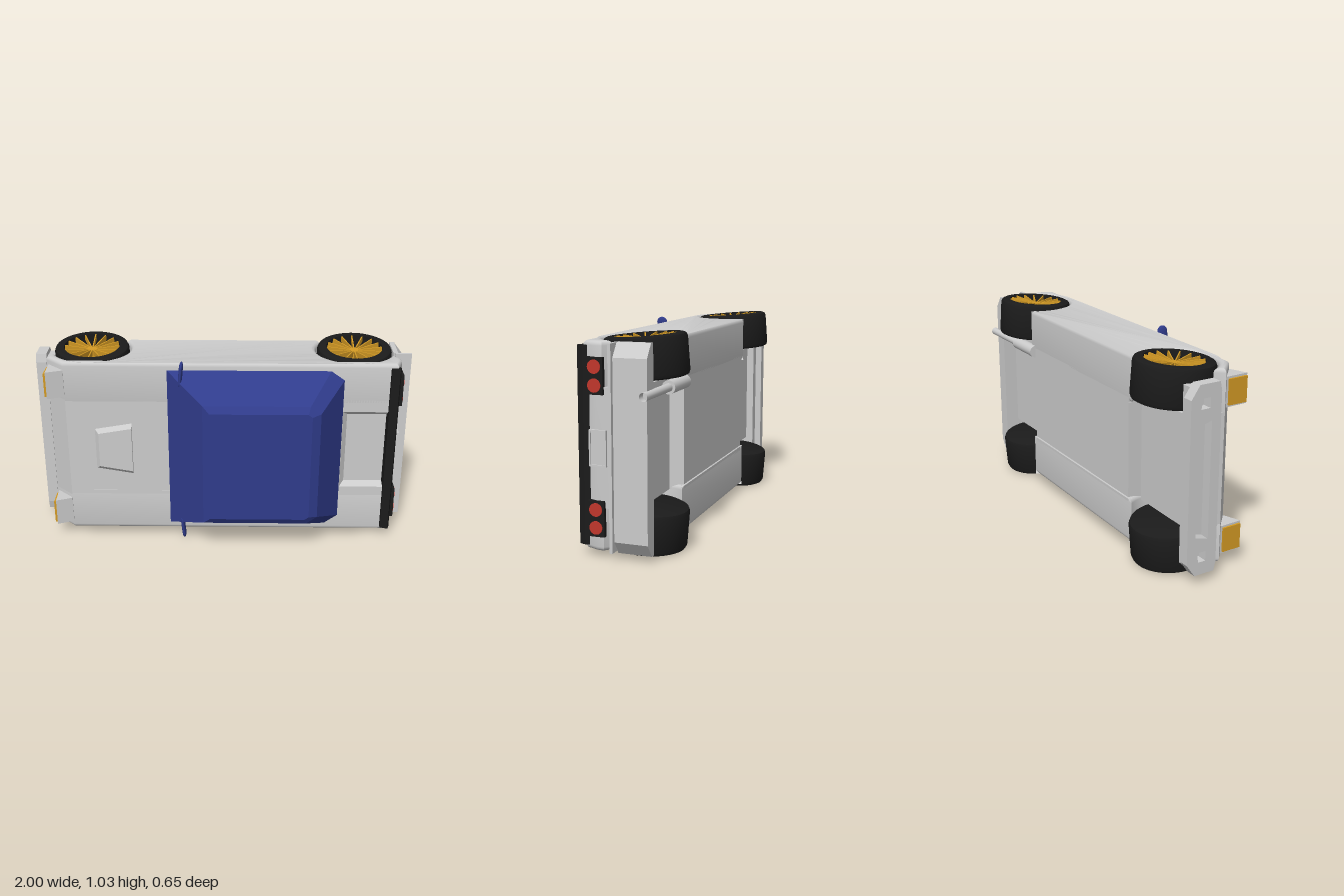
import * as THREE from 'three';
import { toCreasedNormals, mergeVertices } from 'three/addons/utils/BufferGeometryUtils.js';

const mat = (color) => new THREE.MeshStandardMaterial({ color });
const grey = mat(0xcccccc), blue = mat(0x303c8c), black = mat(0x1b1b1b);
const gold = mat(0xd39a24), red = mat(0xc0362c);

// The car lies with its nose at -x, its roof at +z and its width along y.
export function createModel() {
  const car = new THREE.Group();
  car.name = 'car';
  car.position.y = 0.52;

  const add = (name, geometry, material, parent = car) => {
    const mesh = new THREE.Mesh(geometry, material);
    mesh.name = name;
    parent.add(mesh);
    return mesh;
  };
  const box = (name, x0, x1, y0, y1, z0, z1, material) =>
    add(name, new THREE.BoxGeometry(x1 - x0, y1 - y0, z1 - z0)
      .translate((x0 + x1) / 2, (y0 + y1) / 2, (z0 + z1) / 2), material);
  const poly = (pts) => new THREE.Shape(pts.map(([a, b]) => new THREE.Vector2(a, b)));

  // side outline in (x, z), extruded across the car from y0 to y1
  const across = (shape, y0, y1, bevel = 0) => {
    const g = new THREE.ExtrudeGeometry(shape, {
      depth: y1 - y0 - 2 * bevel, curveSegments: 32, bevelEnabled: bevel > 0,
      bevelSize: bevel, bevelThickness: bevel, bevelOffset: -bevel, bevelSegments: 4,
    });
    return toCreasedNormals(g.rotateX(Math.PI / 2).translate(0, y1 - bevel, 0), 0.6);
  };
  // outline in (y, z), extruded along the car from x0 to x1
  const basis = new THREE.Matrix4().makeBasis(
    new THREE.Vector3(0, 1, 0), new THREE.Vector3(0, 0, 1), new THREE.Vector3(1, 0, 0));
  const along = (shape, x0, x1) =>
    new THREE.ExtrudeGeometry(shape, { depth: x1 - x0, bevelEnabled: false })
      .applyMatrix4(basis).translate(x0, 0, 0);

  // stack of counter-clockwise (x, y) loops, each at its own z, with a cap on top
  const loft = (levels) => {
    const pos = [], index = [], n = levels[0].loop.length;
    levels.forEach(({ z, loop }) => loop.forEach(([x, y]) => pos.push(x, y, z)));
    for (let l = 0; l < levels.length - 1; l++) {
      for (let i = 0; i < n; i++) {
        const a = l * n + i, b = l * n + (i + 1) % n;
        index.push(a, b, b + n, a, b + n, a + n);
      }
    }
    const top = (levels.length - 1) * n;
    for (let i = 1; i < n - 1; i++) index.push(top, top + i, top + i + 1);
    const g = new THREE.BufferGeometry();
    g.setAttribute('position', new THREE.Float32BufferAttribute(pos, 3));
    g.setIndex(index);
    return toCreasedNormals(g, 0.2);
  };

  // Body core with the raised underside at both axles and the sunken boot lid
  add('bodyCore', across(poly([
    [-0.5, -0.16], [-0.5, -0.235], [0.48, -0.235], [0.48, -0.16], [0.9, -0.16], [0.91, 0.03],
    [0.895, 0.07], [0.64, 0.07], [0.615, 0.1], [-0.83, 0.1], [-0.925, 0.01], [-0.9, -0.16],
  ]), -0.28, 0.28), grey);

  // Body sides with round wheel arches
  const side = new THREE.Shape();
  side.moveTo(-0.532, -0.235);
  side.lineTo(0.507, -0.235);
  side.absarc(0.68, -0.125, 0.205, Math.PI + 0.566, 0.45, true);
  side.lineTo(0.91, 0);
  side.lineTo(0.91, 0.035);
  side.lineTo(0.885, 0.1);
  side.lineTo(-0.83, 0.1);
  side.lineTo(-0.925, 0.01);
  side.absarc(-0.705, -0.125, 0.205, Math.PI - 0.45, -0.566, true);
  add('bodySideLeft', across(side, 0.25, 0.487, 0.022), grey);
  add('bodySideRight', across(side, -0.487, -0.25, 0.022), grey);

  // Cabin
  const cabinLoop = (x0, x1, w, cx, cy) => [
    [x0, -w], [x1 - cx, -w], [x1, -w + cy], [x1, w - cy], [x1 - cx, w], [x0, w]];
  add('cabin', loft([
    { z: 0.098, loop: cabinLoop(-0.3, 0.615, 0.448, 0.07, 0.05) },
    { z: 0.298, loop: cabinLoop(-0.11, 0.485, 0.335, 0.055, 0.04) },
    { z: 0.32, loop: cabinLoop(-0.075, 0.44, 0.3, 0.02, 0.015) },
  ]), blue);

  // Bonnet scoop
  add('bonnetScoop', loft([
    { z: 0.099, loop: [[-0.685, -0.115], [-0.49, -0.148], [-0.49, 0.148], [-0.685, 0.115]] },
    { z: 0.122, loop: [[-0.665, -0.095], [-0.49, -0.125], [-0.49, 0.125], [-0.665, 0.095]] },
  ]), grey);

  // Rear spoiler lip
  add('spoiler', across(poly([[0.845, 0.07], [0.89, 0.07], [0.9, 0.1], [0.89, 0.13], [0.85, 0.115]]),
    -0.465, 0.465), black);

  // Number plate frame and plate
  const frame = poly([[-0.085, -0.02], [0.085, -0.02], [0.085, 0.065], [-0.085, 0.065]]);
  frame.holes.push(poly([[-0.077, -0.012], [-0.077, 0.057], [0.077, 0.057], [0.077, -0.012]]));
  add('plateFrame', along(frame, 0.9, 0.92), grey);
  box('plate', 0.9, 0.913, -0.08, 0.08, -0.015, 0.06, grey);

  // Front bumper with air intake and two small openings
  const bumper = poly([[-0.465, -0.08], [-0.465, -0.19], [-0.4, -0.235], [0.4, -0.235],
    [0.465, -0.19], [0.465, -0.08], [0.42, -0.07], [-0.42, -0.07]]);
  bumper.holes.push(poly([[-0.27, -0.19], [-0.29, -0.12], [0.29, -0.12], [0.27, -0.19]]));
  for (const s of [-1, 1]) {
    bumper.holes.push(poly([[s * 0.35, -0.18], [s * 0.35, -0.13], [s * 0.4, -0.13], [s * 0.4, -0.17]]));
  }
  add('frontBumper', along(bumper, -1, -0.945), grey);
  box('bumperBacking', -0.95, -0.89, -0.44, 0.44, -0.2, -0.075, grey);

  // Rear bumper with tapered ends and a lip on top
  const rear = new THREE.ExtrudeGeometry(poly([[0.88, -0.485], [0.905, -0.485], [0.955, -0.42],
    [0.955, 0.42], [0.905, 0.485], [0.88, 0.485]]), { depth: 0.165, bevelEnabled: false });
  add('rearBumper', rear.translate(0, 0, -0.235), grey);
  box('rearBumperLip', 0.89, 0.975, -0.468, 0.484, -0.072, -0.057, grey);

  // Exhaust
  const pipe = (name, r, x0, x1, open) => {
    const m = add(name, new THREE.CylinderGeometry(r, r, x1 - x0, 24, 1, open).rotateZ(Math.PI / 2),
      open ? new THREE.MeshStandardMaterial({ color: 0xcccccc, side: THREE.DoubleSide }) : grey);
    m.position.set((x0 + x1) / 2, 0.26, -0.235);
  };
  pipe('muffler', 0.033, 0.47, 0.69, false);
  pipe('tailpipe', 0.02, 0.68, 1, true);

  // Wheel: outer face towards its local +y
  const tyreProfile = [[0, -0.1], [0.175, -0.1], [0.19, -0.093], [0.196, -0.078], [0.196, 0.08],
    [0.19, 0.094], [0.178, 0.1], [0.147, 0.1], [0.143, 0.04], [0, 0.04]]
    .map(([r, y]) => new THREE.Vector2(r, y));
  const tyreGeo = toCreasedNormals(mergeVertices(new THREE.LatheGeometry(tyreProfile, 48)), 0.7);
  const spokeGeo = new THREE.BoxGeometry(0.132, 0.03, 0.006).rotateZ(0.14).translate(0.08, 0.075, 0);
  const hubGeo = new THREE.CylinderGeometry(0.024, 0.028, 0.045, 20).translate(0, 0.06, 0);
  const spokes = 16, camber = 0.08;

  for (const s of [-1, 1]) {
    for (const [name, x] of [['frontWheel', -0.705], ['rearWheel', 0.68]]) {
      const wheel = new THREE.Group();
      wheel.name = name;
      wheel.position.set(x, s * 0.402, -0.125);
      wheel.rotation.x = s > 0 ? camber : Math.PI - camber;
      add('tyre', tyreGeo, black, wheel);
      add('hub', hubGeo, gold, wheel);
      for (let i = 0; i < spokes; i++) {
        add('spoke', spokeGeo, gold, wheel).rotation.y = (i / spokes) * Math.PI * 2;
      }
      car.add(wheel);
    }

    // Raised deck beside the sunken boot lid, sloped on its inner edge
    const deck = [[0.195, 0.069], [0.285, 0.069], [0.285, 0.1], [0.22, 0.1]];
    add('bootEdge', along(poly(deck.map(([y, z]) => [s * y, z])), 0.61, 0.886), grey);

    // Pop-up headlight
    const y0 = s * 0.372 - 0.073, y1 = y0 + 0.146;
    add('headlight', across(poly([[-0.918, 0.02], [-0.83, 0.07], [-0.83, 0.105], [-0.915, 0.138]]),
      y0, y1), grey);
    box('headlightLens', -0.927, -0.914, y0 + 0.01, y1 - 0.01, 0.03, 0.132, gold);

    // Tail light panel with two round lamps
    box('tailLightPanel', 0.89, 0.921, s * 0.33 - 0.085, s * 0.33 + 0.085, -0.008, 0.075, black);
    for (const y of [0.287, 0.372]) {
      const lamp = add('tailLamp', new THREE.CylinderGeometry(0.032, 0.032, 0.02, 28).rotateZ(Math.PI / 2), red);
      lamp.position.set(0.915, s * y, 0.034);
    }

    // Door mirror
    const mirror = add('doorMirror', new THREE.CapsuleGeometry(0.03, 0.08, 8, 20), blue);
    mirror.scale.x = 0.35;
    mirror.position.set(-0.225, s * 0.441, 0.145);
    mirror.rotation.z = -s * 0.1;
  }

  const model = new THREE.Group();
  model.name = 'model';
  model.add(car);
  return model;
}
